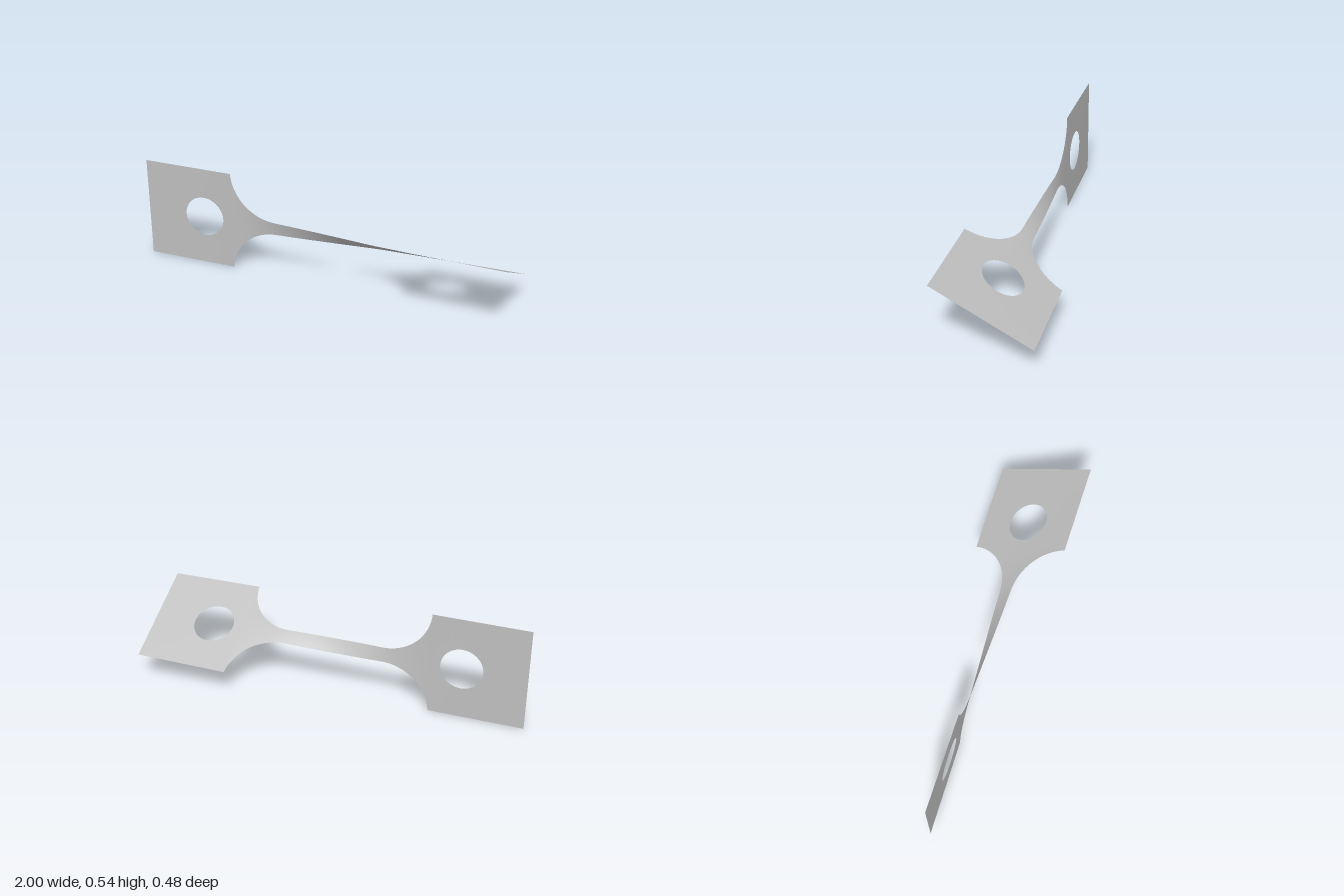
import * as THREE from 'three';

const END = 1, SHOULDER = 0.51, HALF = 0.2715, NECK = 0.0375;
const R = 0.25, ARC_X = 0.26, HOLE_X = 0.67, HOLE_R = 0.1085;
const rad = THREE.MathUtils.degToRad;

// half width of the waist at x: straight neck with circular fillets
function halfWidth(x) {
  const u = Math.min(Math.max(Math.abs(x) - ARC_X, 0), R);
  return Math.min(NECK + R - Math.sqrt(R * R - u * u), HALF);
}

// twist builds up fastest where the strip is narrowest
const N = 600, table = [0];
for (let i = 1; i <= N; i++) {
  const x = -SHOULDER + (2 * SHOULDER * (i - 0.5)) / N;
  table.push(table[i - 1] + 1 / halfWidth(x));
}
function twist(x) {
  if (x <= -SHOULDER) return rad(0.3 + (0.7 * (x + END)) / (END - SHOULDER));
  if (x >= SHOULDER) return rad(61 + (1.2 * (x - SHOULDER)) / (END - SHOULDER));
  const t = ((x + SHOULDER) / (2 * SHOULDER)) * N;
  const i = Math.min(Math.floor(t), N - 1);
  const sum = table[i] + (table[i + 1] - table[i]) * (t - i);
  return rad(1 + (60 * sum) / table[N]);
}

// turn each cross-section of a flat sheet about the long axis
function twisted(geometry) {
  const p = geometry.attributes.position;
  for (let i = 0; i < p.count; i++) {
    const a = twist(p.getX(i)), v = p.getY(i);
    p.setXYZ(i, p.getX(i), HALF + v * Math.cos(a), v * Math.sin(a));
  }
  geometry.computeVertexNormals();
  return geometry;
}

// square grip plate with a round hole
function gripPlate(side) {
  const x0 = side < 0 ? -END : SHOULDER, x1 = side < 0 ? -SHOULDER : END;
  const shape = new THREE.Shape([
    new THREE.Vector2(x0, -HALF), new THREE.Vector2(x1, -HALF),
    new THREE.Vector2(x1, HALF), new THREE.Vector2(x0, HALF),
  ]);
  shape.holes.push(new THREE.Path().absarc(side * HOLE_X, 0, HOLE_R, 0, Math.PI * 2, true));
  return twisted(new THREE.ShapeGeometry(shape, 32));
}

// waist sheet, with stations packed closely along the fillets
function waist() {
  const xs = [], F = 24, M = 32, rows = 6;
  for (let i = 0; i < F; i++) xs.push(-ARC_X - R * Math.cos((i / F) * Math.PI / 2));
  for (let i = 0; i <= M; i++) xs.push(-ARC_X + (2 * ARC_X * i) / M);
  for (let i = F - 1; i >= 0; i--) xs.push(ARC_X + R * Math.cos((i / F) * Math.PI / 2));
  const g = new THREE.PlaneGeometry(1, 2, xs.length - 1, rows);
  const p = g.attributes.position;
  for (let i = 0; i < p.count; i++) {
    const x = xs[i % xs.length];
    p.setXY(i, x, p.getY(i) * halfWidth(x));
  }
  return twisted(g);
}

export function createModel() {
  const group = new THREE.Group();
  group.name = 'twistedTestStrip';
  const grey = new THREE.MeshStandardMaterial({ color: 0xbfbfbf, side: THREE.DoubleSide });
  grey.name = 'plain grey';
  const add = (name, geometry) => {
    const mesh = new THREE.Mesh(geometry, grey);
    mesh.name = name;
    group.add(mesh);
  };
  add('rightGripPlate', gripPlate(-1));
  add('leftGripPlate', gripPlate(1));
  add('twistedNeck', waist());
  return group;
}
